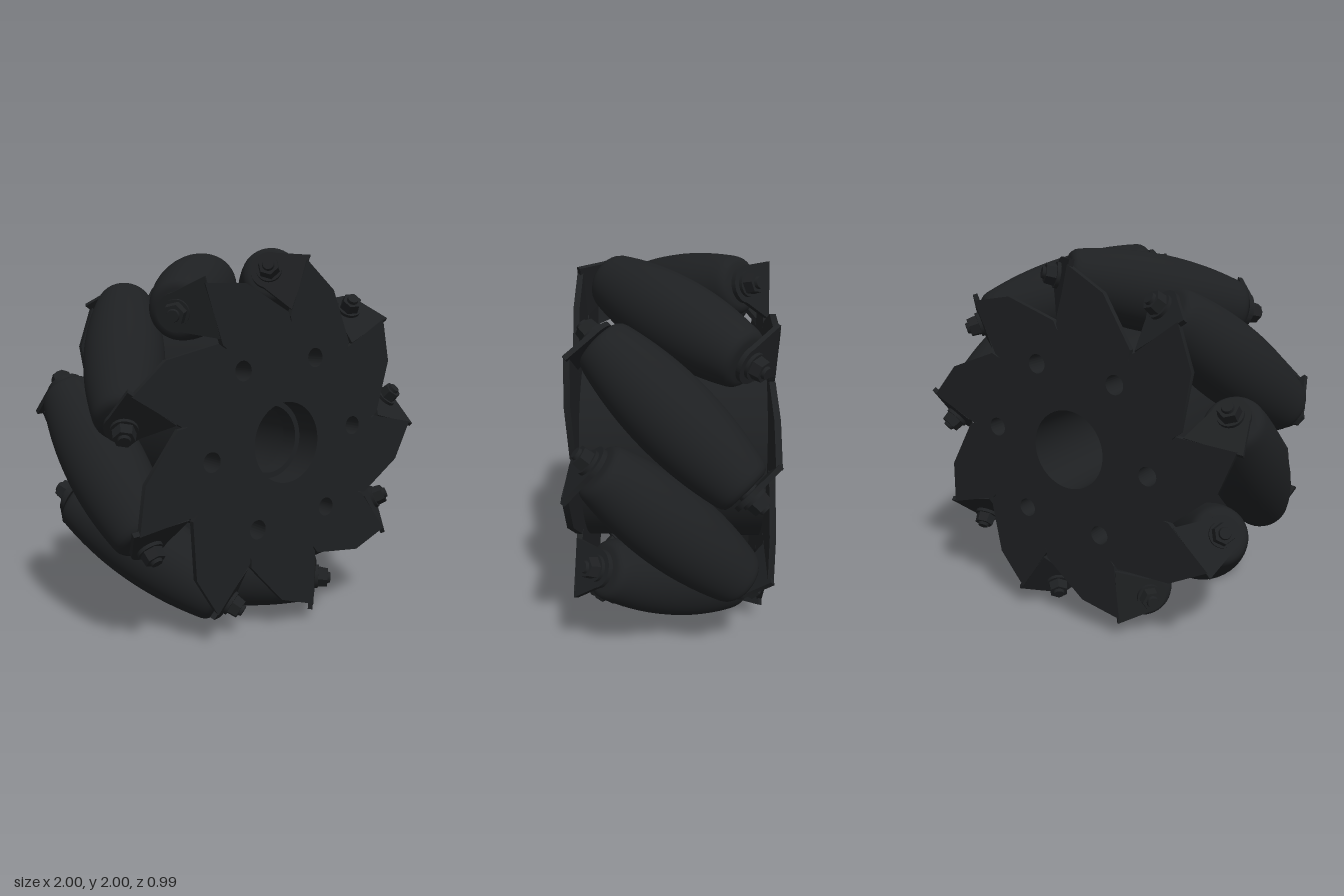
import * as THREE from 'three';
import { toCreasedNormals } from 'three/addons/utils/BufferGeometryUtils.js';

const COUNT = 9, STEP = (2 * Math.PI) / COUNT;
const AXIS_R = 0.795;                 // distance of the roller axes from the wheel axis
const HALF_WIDTH = 0.495, PLATE = 0.03;
const rad = THREE.MathUtils.degToRad;
const material = new THREE.MeshStandardMaterial({ color: 0x1e2022 });

function mesh(name, geometry, parent) {
  const m = new THREE.Mesh(geometry, material);
  m.name = name;
  parent.add(m);
  return m;
}

function extrude(shape, depth) {
  const g = new THREE.ExtrudeGeometry(shape, { depth, bevelEnabled: false, curveSegments: 48 });
  return toCreasedNormals(g, rad(30));
}

const circle = (x, y, r) => new THREE.Path().absarc(x, y, r, 0, 2 * Math.PI, true);

// Central bore and the six mounting holes
function addHoles(shape, startAngle) {
  shape.holes.push(circle(0, 0, 0.21));
  for (let i = 0; i < 6; i++) {
    const a = startAngle + (i * Math.PI) / 3;
    shape.holes.push(circle(0.47 * Math.cos(a), 0.47 * Math.sin(a), 0.05));
  }
}

// Saw-toothed side plate with a small relief notch beside each bend
function plateGeometry(holeAngle) {
  const tooth = [[0.665, -16.8], [0.84, 1.7], [0.935, 15.8], [0.645, 21.9], [0.615, 21.2], [0.625, 19.4 + 2.5]];
  const pts = [];
  for (let i = 0; i < COUNT; i++) {
    for (const [r, deg] of tooth) {
      const a = rad(deg) + i * STEP;
      pts.push(new THREE.Vector2(r * Math.cos(a), r * Math.sin(a)));
    }
  }
  const shape = new THREE.Shape(pts);
  addHoles(shape, holeAngle);
  return extrude(shape, PLATE);
}

// Barrel whose outline touches a cylinder of radius 1 along its whole length
function rollerGeometry() {
  const side = [];
  for (let i = -12; i <= 12; i++) {
    const s = (i / 12) * 0.405;
    const rho = Math.hypot(AXIS_R, s / Math.SQRT2);
    const slope = s / (2 * rho);
    side.push(new THREE.Vector2((1 - rho) * Math.sqrt(1 - slope * slope), s + (1 - rho) * slope));
  }
  const end = [[0.142, 0.463], [0.128, 0.479], [0.108, 0.485], [0.05, 0.487], [0.05, 0.5], [0, 0.5]];
  const top = end.map(([r, y]) => new THREE.Vector2(r, y));
  const bottom = end.map(([r, y]) => new THREE.Vector2(r, -y)).reverse();
  return toCreasedNormals(new THREE.LatheGeometry([...bottom, ...side, ...top], 40), rad(45));
}

// Bent ear carrying one roller end: straight at the bend, round at the bolt
function tabGeometry() {
  const s = new THREE.Shape();
  s.moveTo(0.135, 0.175);
  s.lineTo(-0.165, 0.175);
  s.absarc(0, 0, 0.095, Math.PI, 2 * Math.PI, false);
  s.closePath();
  return extrude(s, 0.025).rotateX(Math.PI / 2);
}

export function createModel() {
  const model = new THREE.Group();
  model.name = 'rollerWheel';
  const wheel = new THREE.Group();
  wheel.name = 'wheel';
  wheel.position.y = 1;
  wheel.rotation.z = rad(26.7);
  model.add(wheel);

  // Hub drum with a narrower lip inside the bore
  const holeAngle = rad(-20.1);
  const drum = new THREE.Shape().absarc(0, 0, 0.565, 0, 2 * Math.PI, false);
  addHoles(drum, holeAngle);
  const inner = HALF_WIDTH - PLATE;
  mesh('hubDrum', extrude(drum, 2 * inner), wheel).position.z = -inner;
  const lip = new THREE.Shape().absarc(0, 0, 0.212, 0, 2 * Math.PI, false);
  lip.holes.push(circle(0, 0, 0.18));
  mesh('boreLip', extrude(lip, 0.1), wheel).position.z = 0.25;

  // Front and back plates, the back one turned over
  for (const side of [1, -1]) {
    const half = new THREE.Group();
    half.name = side > 0 ? 'frontPlate' : 'backPlate';
    if (side < 0) half.rotation.x = Math.PI;
    wheel.add(half);
    mesh('toothedPlate', plateGeometry(side * holeAngle), half).position.z = inner;
  }

  // Slanted rollers with ears, washers and bolts at both ends
  const roller = rollerGeometry();
  const tab = tabGeometry();
  const washer = toCreasedNormals(new THREE.CylinderGeometry(0.066, 0.066, 0.018, 24), rad(30));
  const nut = toCreasedNormals(new THREE.CylinderGeometry(0.052, 0.058, 0.052, 6), rad(30));
  const tip = toCreasedNormals(new THREE.CylinderGeometry(0.028, 0.032, 0.016, 16), rad(30));
  for (let i = 0; i < COUNT; i++) {
    const spoke = new THREE.Group();
    spoke.name = 'rollerUnit' + (i + 1);
    spoke.rotation.z = i * STEP;
    wheel.add(spoke);
    const tilted = new THREE.Group();
    tilted.name = 'tiltedAxle';
    tilted.position.x = AXIS_R;
    tilted.rotation.x = Math.PI / 4;
    spoke.add(tilted);
    mesh('roller', roller, tilted);
    for (const side of [1, -1]) {
      const end = new THREE.Group();
      end.name = side > 0 ? 'frontMount' : 'backMount';
      if (side < 0) end.rotation.x = Math.PI;
      tilted.add(end);
      mesh('mountingTab', tab, end).position.y = 0.525;
      mesh('washer', washer, end).position.y = 0.534;
      mesh('hexNut', nut, end).position.y = 0.569;
      mesh('boltTip', tip, end).position.y = 0.603;
    }
  }
  return model;
}
